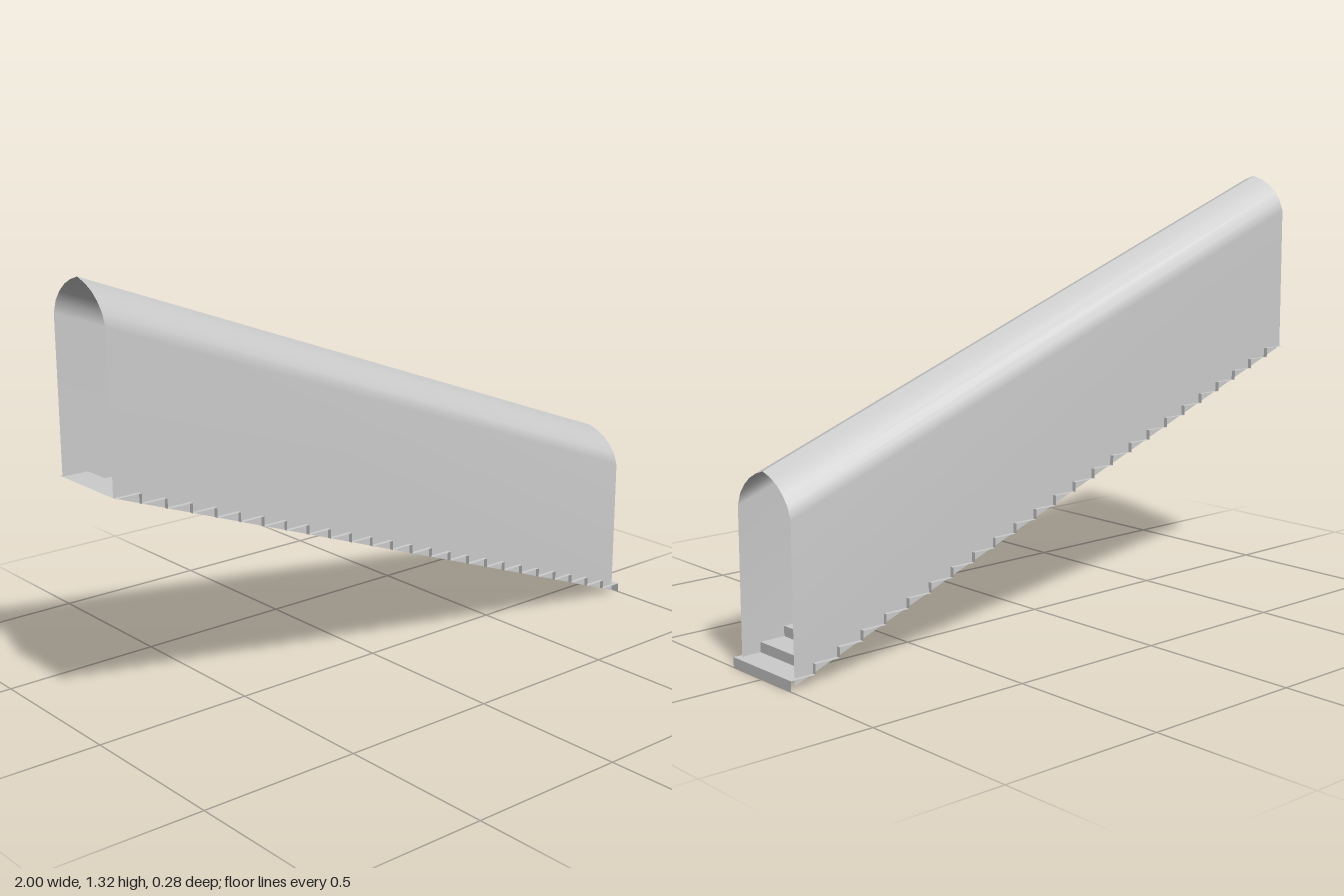
import * as THREE from 'three';

const STEPS = 25, RUN = 0.08, RISE = 0.03;
const baseY = (x) => (1 - x) * RISE / RUN; // pitch line of the stair

// Open sheet swept between two rows of points
function sheet(rowA, rowB, flip) {
  const pos = [], index = [];
  rowA.forEach((a, i) => pos.push(...a, ...rowB[i]));
  for (let i = 0; i < rowA.length - 1; i++) {
    const a = i * 2, b = a + 1, c = a + 2, d = a + 3;
    if (flip) index.push(a, c, b, b, c, d);
    else index.push(a, b, c, b, d, c);
  }
  const g = new THREE.BufferGeometry();
  g.setAttribute('position', new THREE.Float32BufferAttribute(pos, 3));
  g.setIndex(index);
  return g;
}

export function createModel() {
  const group = new THREE.Group();
  const smooth = new THREE.MeshStandardMaterial({ color: 0xcccccc, side: THREE.DoubleSide });
  const flat = new THREE.MeshStandardMaterial({ color: 0xcccccc, side: THREE.DoubleSide, flatShading: true });

  // Half of the pointed vault: [z, height above the pitch line]
  const profile = [[0.127, 0], [0.127, 0.452], [0.114, 0.488], [0.093, 0.515], [0.066, 0.538], [0.036, 0.554], [0, 0.566]];
  for (const side of [1, -1]) {
    const row = (x) => profile.map(([z, h]) => [x, baseY(x) + h, z * side]);
    const g = sheet(row(-1), row(0.98), side < 0);
    g.computeVertexNormals();
    const half = new THREE.Mesh(g, smooth);
    half.name = side > 0 ? 'frontVaultWall' : 'backVaultWall';
    group.add(half);
  }

  // Folded stair sheet, climbing towards -x
  const zigzag = [[1, 0]];
  for (let i = 0; i < STEPS; i++) {
    const x = 1 - i * RUN, y = (i + 1) * RISE;
    zigzag.push([x, y], [x - RUN, y]);
  }
  const edge = (z) => zigzag.map(([x, y]) => [x, y, z]);
  const stairGeometry = sheet(edge(0.14), edge(-0.14), false).toNonIndexed();
  stairGeometry.computeVertexNormals();
  const stairs = new THREE.Mesh(stairGeometry, flat);
  stairs.name = 'stairs';
  group.add(stairs);

  return group;
}
